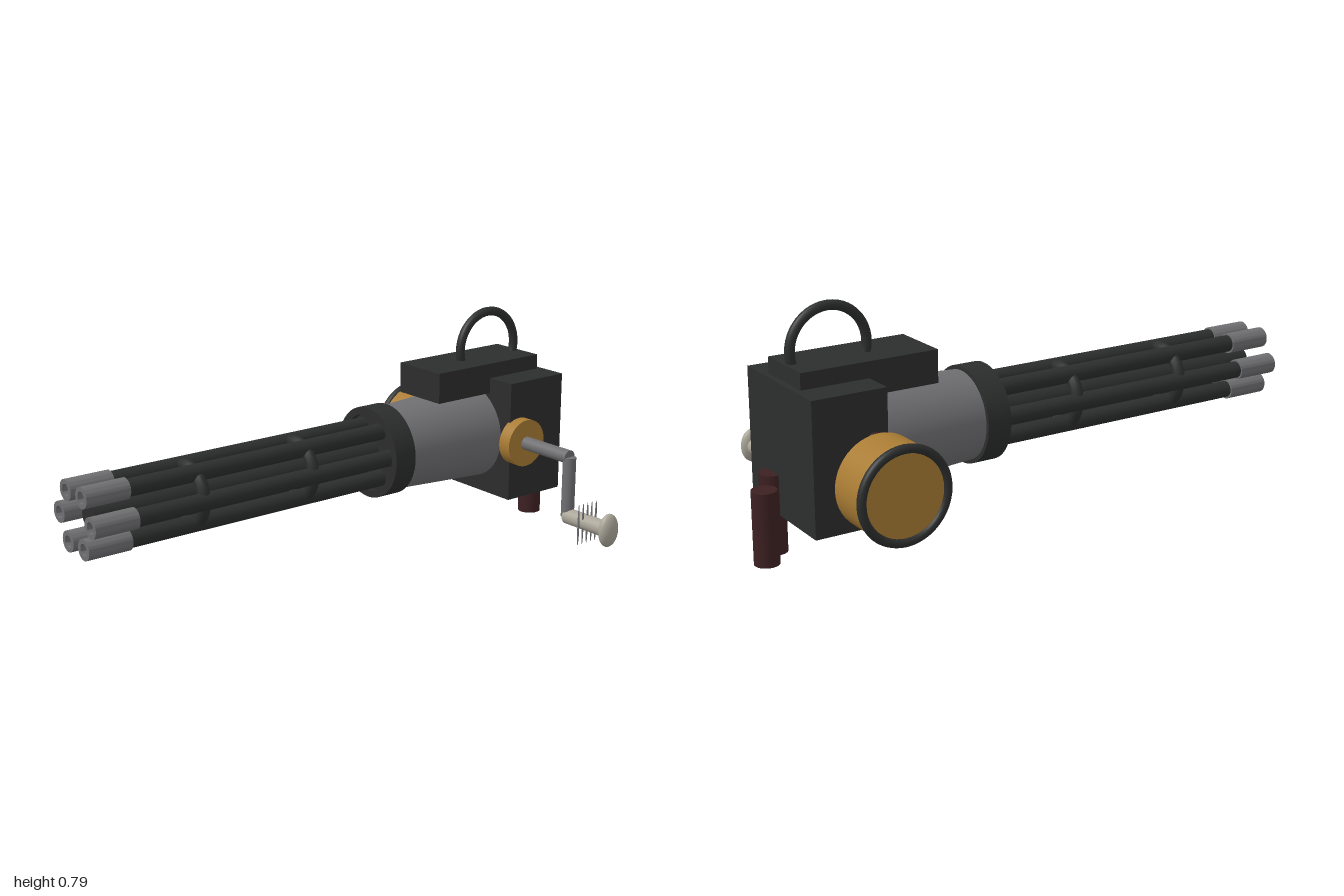
import * as THREE from 'three';
import { toCreasedNormals } from 'three/addons/utils/BufferGeometryUtils.js';

const mat = (name, color) => {
  const m = new THREE.MeshStandardMaterial({ color });
  m.name = name;
  return m;
};

export function createModel() {
  const model = new THREE.Group();
  const black = mat('blackened steel', 0x2c2d2d);
  const grey = mat('grey steel', 0x6f6f72);
  const gold = mat('brass', 0xa97c34);
  const red = mat('dark red grip', 0x3d2022);
  const ivory = mat('pale ivory', 0xaaa598);

  const AX = -0.147, AY = 0.347; // barrel axis
  const CZ = -0.663; // crank and drum line

  const add = (name, geo, material, x = 0, y = 0, z = 0) => {
    const m = new THREE.Mesh(geo, material);
    m.name = name;
    m.position.set(x, y, z);
    model.add(m);
    return m;
  };
  // Box from its min and max corners
  const box = (name, material, a, b) => add(name,
    new THREE.BoxGeometry(b[0] - a[0], b[1] - a[1], b[2] - a[2]), material,
    (a[0] + b[0]) / 2, (a[1] + b[1]) / 2, (a[2] + b[2]) / 2);
  // Cylinder or cone between two points
  const rod = (name, material, a, b, r0, r1 = r0, sides = 32) => {
    const p = new THREE.Vector3(...a), q = new THREE.Vector3(...b);
    const d = q.clone().sub(p);
    const m = add(name, new THREE.CylinderGeometry(r1, r0, d.length(), sides), material);
    m.position.copy(p).add(q).multiplyScalar(0.5);
    m.quaternion.setFromUnitVectors(new THREE.Vector3(0, 1, 0), d.normalize());
    return m;
  };
  // Hollow tube along z
  const pipe = (name, material, x, y, z0, z1, outer, inner) => {
    const s = new THREE.Shape().absarc(0, 0, outer, 0, Math.PI * 2, false);
    s.holes.push(new THREE.Path().absarc(0, 0, inner, 0, Math.PI * 2, true));
    const g = new THREE.ExtrudeGeometry(s, { depth: z1 - z0, bevelEnabled: false, curveSegments: 28 });
    return add(name, toCreasedNormals(g, 0.6), material, x, y, z0);
  };

  // Receiver
  box('receiver', black, [-0.36, 0.13, -0.87], [0.07, 0.56, -0.62]);
  box('topCover', black, [-0.253, 0.505, -0.85], [-0.04, 0.613, -0.38]);
  const handle = add('carryHandle', new THREE.TorusGeometry(0.13, 0.016, 14, 48), black, AX, 0.645, -0.70);
  handle.rotation.y = Math.PI / 2;

  // Tapered housing and front collar
  rod('housing', grey, [AX, AY, -0.64], [AX, AY, -0.22], 0.172, 0.147, 48);
  pipe('collar', black, AX, AY, -0.23, -0.145, 0.161, 0.135);
  rod('collarPlate', black, [AX, AY, -0.225], [AX, AY, -0.165], 0.14, 0.14, 48);

  // Rotating barrels
  rod('centreShaft', black, [AX, AY, -0.2], [AX, AY, 0.95], 0.042);
  for (let i = 0; i < 6; i++) {
    const a = (i * Math.PI) / 3;
    const x = AX + Math.cos(a) * 0.098, y = AY + Math.sin(a) * 0.098 * 0.99;
    rod('barrel', black, [x, y, -0.2], [x, y, 0.93], 0.029, 0.029, 24);
    pipe('muzzle', grey, x, y, 0.845, 1, 0.035, 0.02);
  }
  for (const z of [0.16, 0.59]) {
    add('barrelClamp', new THREE.TorusGeometry(0.096, 0.021, 12, 48), black, AX, AY, z);
  }

  // Ammunition drum and feed
  rod('drum', gold, [-0.38, 0.281, CZ], [-0.533, 0.281, CZ], 0.15, 0.15, 48);
  const rim = add('drumRim', new THREE.TorusGeometry(0.144, 0.0145, 12, 48), black, -0.53, 0.281, CZ);
  rim.rotation.y = Math.PI / 2;
  rod('drumFeed', red, [-0.33, 0.41, CZ], [-0.395, 0.34, CZ], 0.035);

  // Crank
  rod('crankHub', gold, [0.06, 0.345, CZ], [0.11, 0.345, CZ], 0.085, 0.085, 40);
  rod('crankShaft', grey, [0.1, 0.345, CZ], [0.325, 0.345, CZ], 0.024);
  rod('crankArm', grey, [0.325, 0.345, CZ], [0.325, 0.13, CZ], 0.023);
  rod('crankGrip', ivory, [0.325, 0.132, CZ], [0.52, 0.132, CZ], 0.028);
  const knob = add('crankKnob', new THREE.SphereGeometry(1, 32, 20), ivory, 0.52, 0.132, CZ);
  knob.scale.set(0.024, 0.059, 0.042);
  // Thin spindles across the grip
  for (let i = -2; i <= 2; i++) {
    const s = add('gripSpindle', new THREE.SphereGeometry(1, 8, 12), grey, 0.42, 0.132, CZ + i * 0.021);
    s.scale.set(0.004, 0.074, 0.003);
  }

  // Rear hand grips
  rod('rightGrip', red, [-0.21, 0.025, -0.96], [-0.21, 0.26, -0.96], 0.04);
  rod('leftGrip', red, [-0.081, 0, -0.873], [-0.081, 0.26, -0.873], 0.041);

  return model;
}
